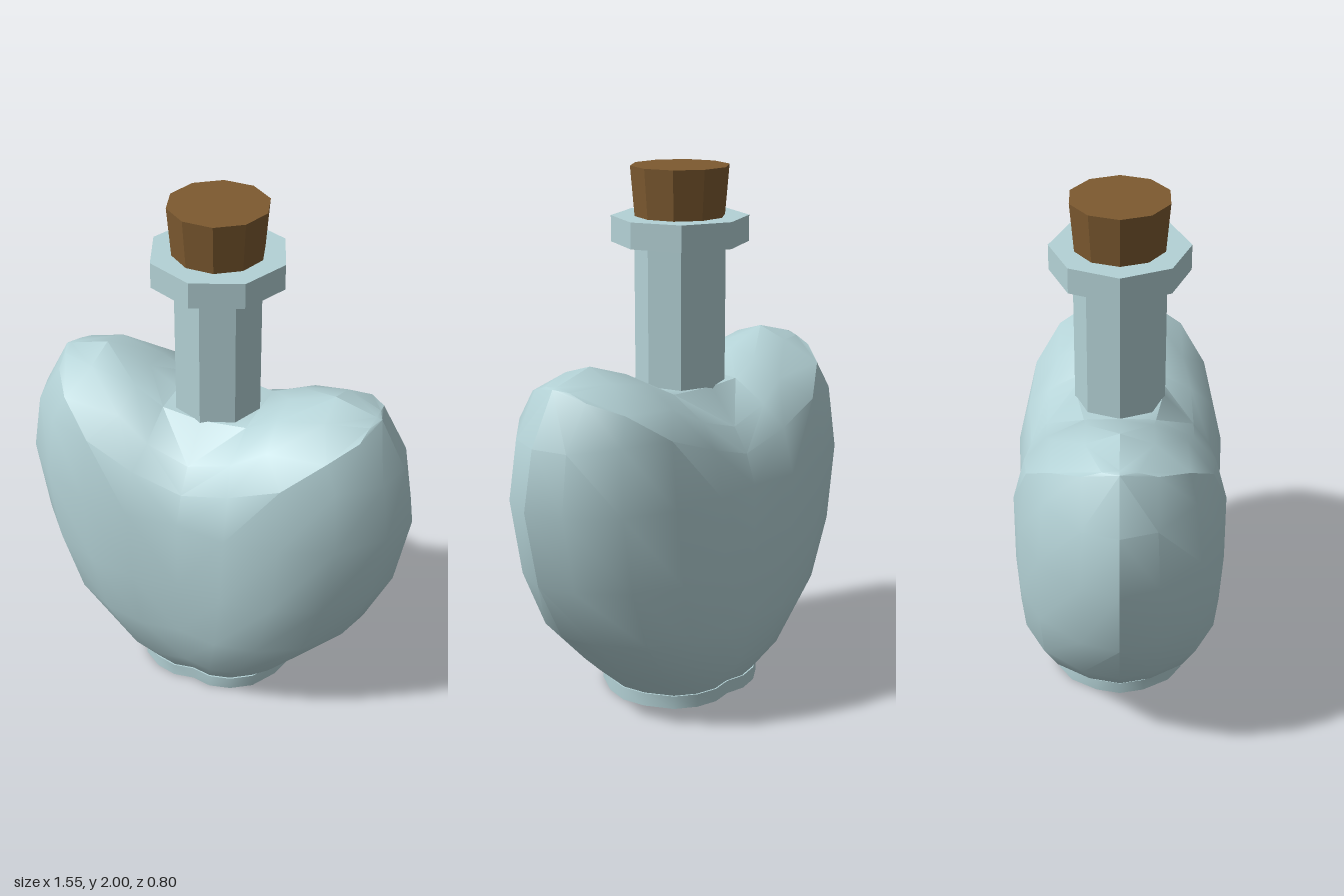
import * as THREE from 'three';
import { toCreasedNormals } from 'three/addons/utils/BufferGeometryUtils.js';

// Plan of a quarter ring, from the side (+x) round to the pinched front (+z)
const PLAN = [[1, 0], [0.935, 0.35], [0.75, 0.73], [0.51, 0.925], [0.25, 1], [0, 0.95]];
const ring = (y, w, d) => PLAN.map(([x, z]) => [x * w, y, z * d]);

// Skins quarter rings (bottom to top) and mirrors them into all four quadrants
function quarterLoft(rows, crease) {
  const pos = [];
  const ab = new THREE.Vector3(), ac = new THREE.Vector3();
  for (const [sx, sz] of [[1, 1], [-1, 1], [1, -1], [-1, -1]]) {
    const at = (r, c) => new THREE.Vector3(rows[r][c][0] * sx, rows[r][c][1], rows[r][c][2] * sz);
    const tri = (a, b, c) => {
      ab.subVectors(b, a);
      ac.subVectors(c, a);
      if (ab.cross(ac).length() < 1e-7) return;
      for (const p of sx * sz > 0 ? [a, b, c] : [a, c, b]) pos.push(p.x, p.y, p.z);
    };
    for (let r = 0; r < rows.length - 1; r++) {
      for (let c = 0; c < PLAN.length - 1; c++) {
        const a = at(r, c), b = at(r, c + 1), a2 = at(r + 1, c), b2 = at(r + 1, c + 1);
        tri(b, a, a2);
        tri(b, a2, b2);
      }
    }
  }
  const geo = new THREE.BufferGeometry();
  geo.setAttribute('position', new THREE.Float32BufferAttribute(pos, 3));
  return toCreasedNormals(geo, crease);
}

export function createModel() {
  const group = new THREE.Group();
  const glass = new THREE.MeshStandardMaterial({ color: 0xb4d2d6 });
  const glassFlat = new THREE.MeshStandardMaterial({ color: 0xb4d2d6, flatShading: true });
  const corkMat = new THREE.MeshStandardMaterial({ color: 0x7d5a30, flatShading: true });

  const add = (name, geo, mat) => {
    const mesh = new THREE.Mesh(geo, mat);
    mesh.name = name;
    group.add(mesh);
    return mesh;
  };

  // Foot
  add('foot', quarterLoft([
    ring(0, 0, 0), ring(0, 0.313, 0.265), ring(0.052, 0.313, 0.265), ring(0.052, 0, 0),
  ], 0.6), glass);

  // Heart-shaped body: plain rings below, then rings that rise over the two lobes
  add('heartBody', quarterLoft([
    ring(0.05, 0.305, 0.258),
    ring(0.165, 0.43, 0.335),
    ring(0.36, 0.615, 0.388),
    ring(0.59, 0.72, 0.398),
    ring(0.88, 0.773, 0.395),
    // shoulder
    [[0.73, 1.1, 0], [0.69, 1.1, 0.13], [0.56, 1.12, 0.265], [0.38, 1.12, 0.33], [0.19, 1.05, 0.35], [0, 0.99, 0.335]],
    // rim of the lobes
    [[0.63, 1.29, 0], [0.595, 1.26, 0.13], [0.515, 1.22, 0.24], [0.29, 1.2, 0.24], [0.165, 1.13, 0.27], [0, 1.08, 0.275]],
    // lobe crowns and saddle around the neck
    [[0.63, 1.29, 0], [0.605, 1.285, 0.06], [0.46, 1.3, 0.12], [0.28, 1.26, 0.12], [0.165, 1.205, 0.13], [0, 1.21, 0.16]],
    // ridge line
    [[0.63, 1.29, 0], [0.61, 1.296, 0], [0.455, 1.34, 0], [0.28, 1.28, 0], [0.165, 1.21, 0], [0, 1.21, 0]],
  ], 0.55), glass);

  // Neck and lip, both octagonal
  add('neck', new THREE.CylinderGeometry(0.166, 0.166, 0.6, 8), glassFlat).position.y = 1.45;
  add('lip', new THREE.CylinderGeometry(0.25, 0.25, 0.095, 8), glassFlat).position.y = 1.773;

  // Tapered cork stopper
  const cork = add('cork', new THREE.CylinderGeometry(0.181, 0.165, 0.19, 10), corkMat);
  cork.position.y = 1.905;
  cork.rotation.y = Math.PI / 2;

  return group;
}
